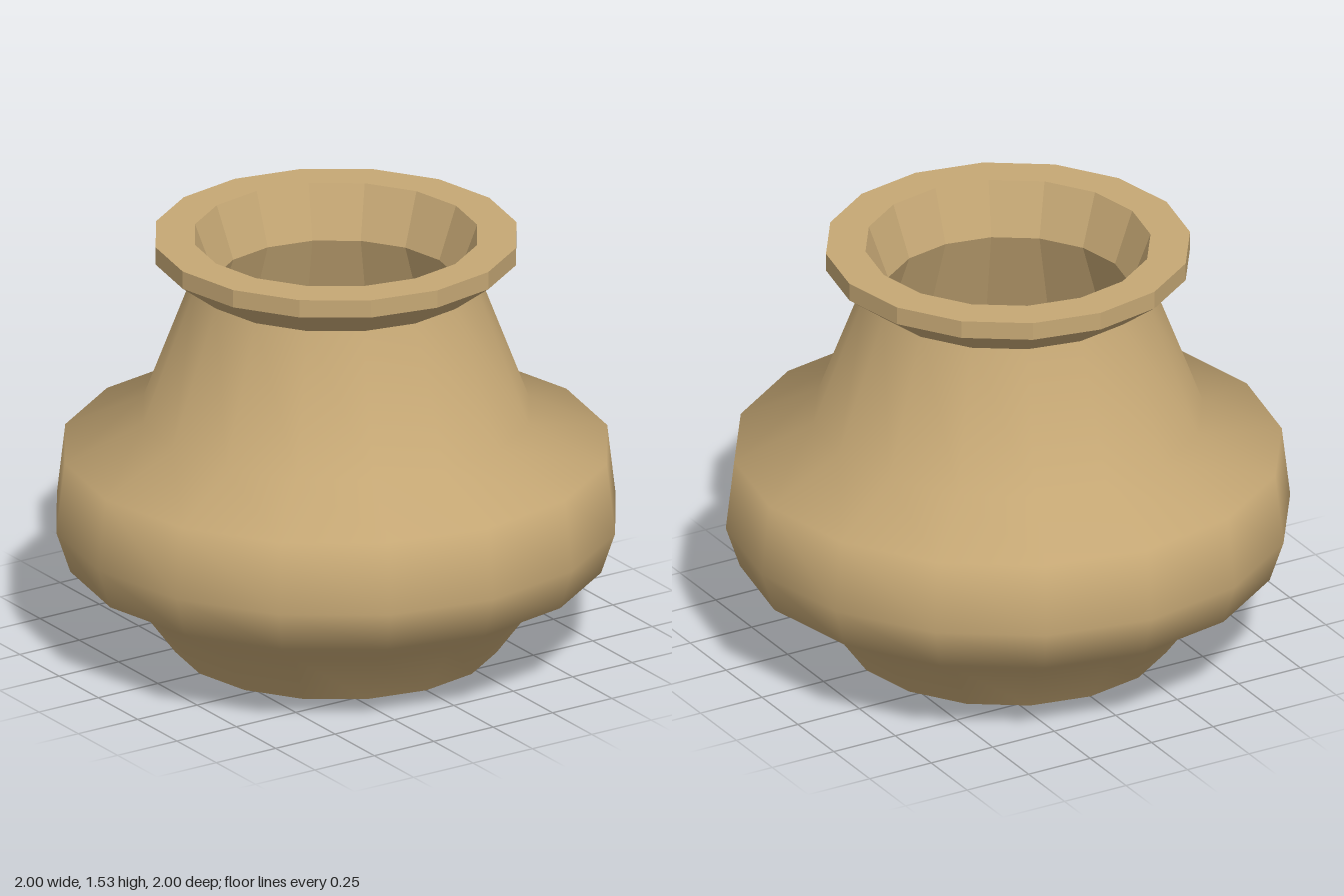
import * as THREE from 'three';

const SIDES = 16;

export function createModel() {
  const group = new THREE.Group();
  group.name = 'pot';
  const clay = new THREE.MeshStandardMaterial({ color: 0xc6a875 });
  clay.name = 'clay';

  // Turn a [radius, height] profile around y, either smooth or faceted
  function turn(name, profile, faceted) {
    const points = profile.map(([r, y]) => new THREE.Vector2(r, y));
    let geometry = new THREE.LatheGeometry(points, SIDES);
    if (faceted) {
      geometry = geometry.toNonIndexed();
      geometry.computeVertexNormals();
    }
    const mesh = new THREE.Mesh(geometry, clay);
    mesh.name = name;
    group.add(mesh);
  }

  // Flat underside
  turn('base', [[0, 0], [0.575, 0]], true);

  // Smooth round belly tapering into the neck
  turn('body', [
    [0.575, 0], [0.73, 0.21], [0.95, 0.33], [1, 0.48],
    [0.97, 0.74], [0.69, 0.87], [0.505, 1.36],
  ], false);

  // Flared rim with a flat top and a funnel-shaped mouth
  turn('rim', [
    [0.505, 1.36], [0.645, 1.465], [0.645, 1.53], [0.505, 1.53], [0.435, 1.34],
  ], true);

  // Hollow inside, following the belly
  turn('innerWall', [
    [0.435, 1.34], [0.62, 0.82], [0.89, 0.69], [0.92, 0.49],
    [0.87, 0.39], [0.66, 0.27], [0.5, 0.05],
  ], true);

  // Slightly raised floor
  turn('floor', [[0.5, 0.05], [0.41, 0.09], [0, 0.09]], true);

  return group;
}
